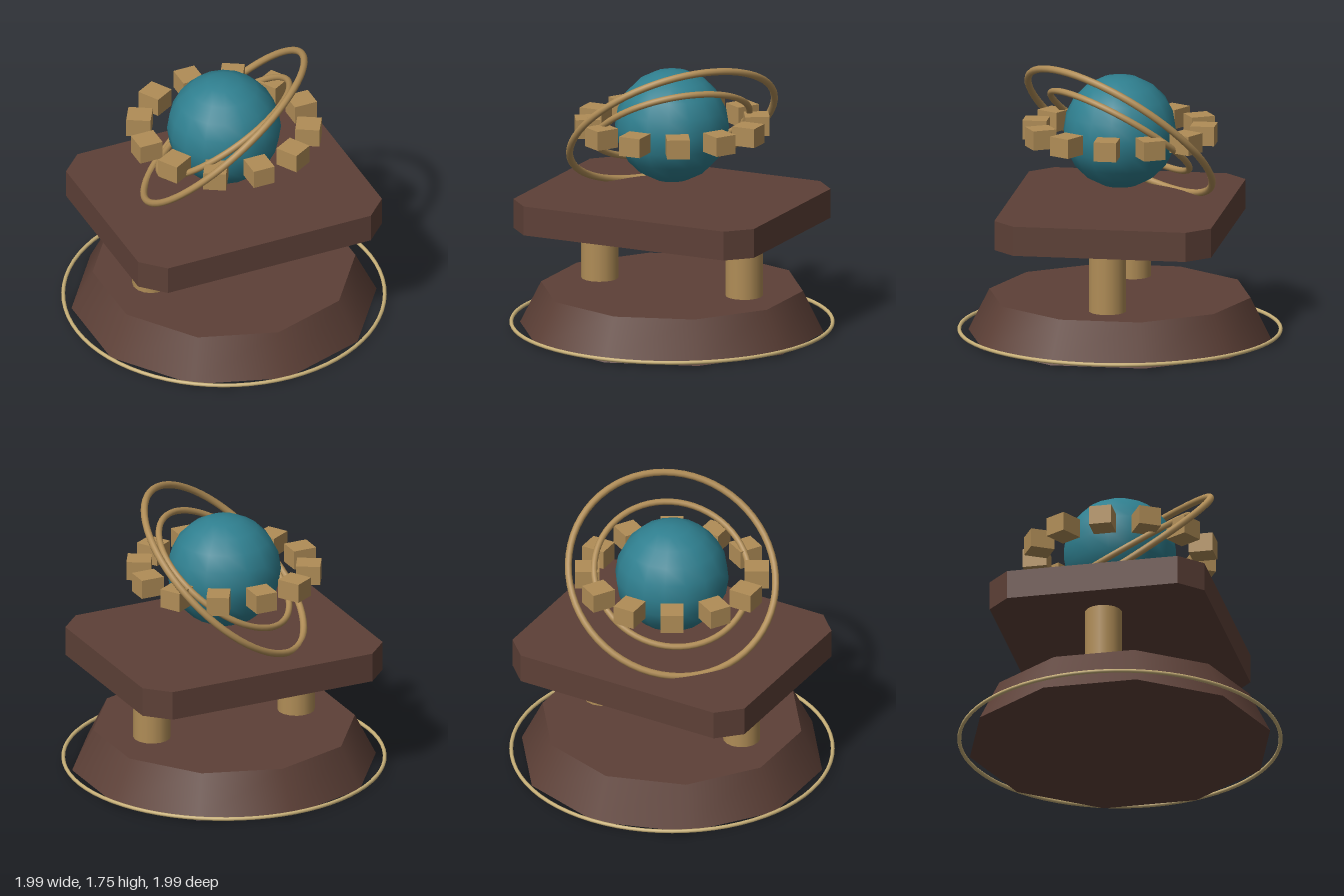
import * as THREE from 'three';

const material = (name, color) => {
  const m = new THREE.MeshStandardMaterial({ color });
  m.name = name;
  return m;
};

export function createModel() {
  const model = new THREE.Group();
  const wood = material('dark wood', 0x5d4037);
  const brass = material('brass', 0xb08d57);
  const paleBrass = material('pale brass', 0xc8b078);
  const teal = material('teal', 0x2f7f8f);
  const centreY = 1.28;

  const add = (name, geometry, mat, x = 0, y = 0, z = 0) => {
    const mesh = new THREE.Mesh(geometry, mat);
    mesh.name = name;
    mesh.position.set(x, y, z);
    model.add(mesh);
    return mesh;
  };

  // Ten-sided tapered foot with a thin hoop around it
  add('base', new THREE.CylinderGeometry(0.81, 0.94, 0.26, 10), wood, 0, 0.13, 0);
  const hoop = add('baseHoop', new THREE.TorusGeometry(0.985, 0.012, 8, 72), paleBrass, 0, 0.035, 0);
  hoop.rotation.x = Math.PI / 2;

  // Two columns
  for (const side of [-1, 1]) {
    add(side > 0 ? 'leftColumn' : 'rightColumn',
      new THREE.CylinderGeometry(0.115, 0.115, 0.41, 16), brass, side * 0.492, 0.46, 0);
  }

  // Table plate with cut corners
  const w = 0.82, d = 0.672, c = 0.138;
  const outline = new THREE.Shape([
    [w - c, -d], [w, c - d], [w, d - c], [w - c, d],
    [c - w, d], [-w, d - c], [-w, c - d], [c - w, -d],
  ].map(([x, y]) => new THREE.Vector2(x, y)));
  const plate = new THREE.ExtrudeGeometry(outline, { depth: 0.183, bevelEnabled: false });
  plate.rotateX(-Math.PI / 2);
  add('plate', plate, wood, 0, 0.662, 0);

  // Globe
  add('globe', new THREE.SphereGeometry(0.35, 16, 10), teal, 0, centreY, 0);

  // Tilted orbit rings, each given by radius, tube and axis
  const orbits = [
    ['outerOrbit', 0.655, 0.022, [-0.53, 0.73, -0.43]],
    ['innerOrbit', 0.484, 0.02, [-0.424, 0.803, -0.416]],
  ];
  for (const [name, radius, tube, axis] of orbits) {
    const ring = add(name, new THREE.TorusGeometry(radius, tube, 10, 64), brass, 0, centreY, 0);
    ring.quaternion.setFromUnitVectors(
      new THREE.Vector3(0, 0, 1), new THREE.Vector3(...axis).normalize());
  }

  // Circle of twelve blocks facing outward
  const block = new THREE.BoxGeometry(0.14, 0.12, 0.15);
  for (let i = 0; i < 12; i++) {
    const a = (i / 12) * Math.PI * 2;
    const mesh = add('block', block, brass, Math.sin(a) * 0.52, centreY, Math.cos(a) * 0.52);
    mesh.rotation.y = a;
  }

  return model;
}
